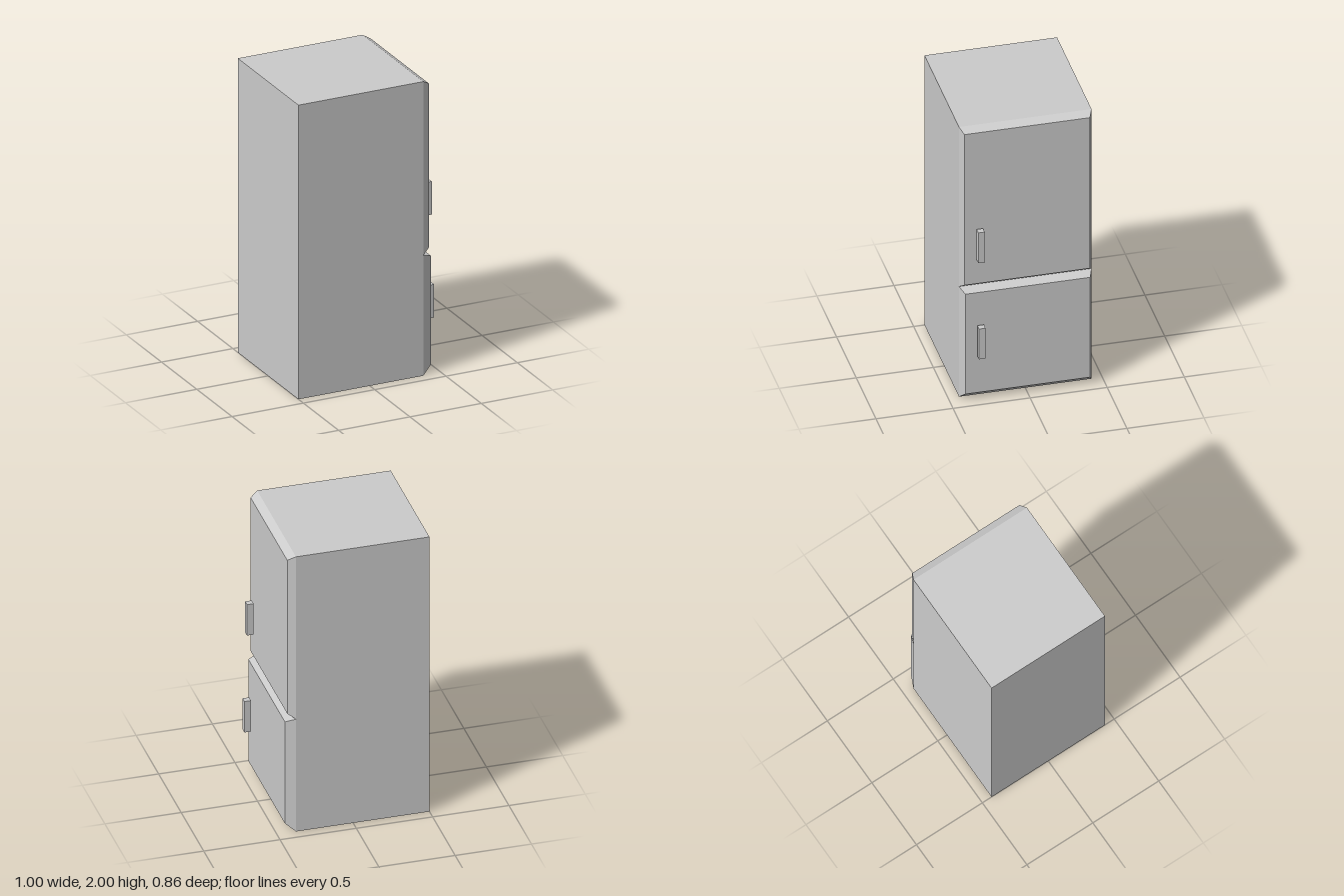
import * as THREE from 'three';

const material = new THREE.MeshStandardMaterial({ color: 0xcccccc, flatShading: true });
const HALF_DEPTH = 0.43;
const BACK = -0.5;
const SEAM = 0.375;

// Box given by its lower and upper limits on each axis
function box(name, [x0, x1], [y0, y1], [z0, z1]) {
  const geometry = new THREE.BoxGeometry(x1 - x0, y1 - y0, z1 - z0);
  geometry.translate((x0 + x1) / 2, (y0 + y1) / 2, (z0 + z1) / 2);
  const mesh = new THREE.Mesh(geometry, material);
  mesh.name = name;
  return mesh;
}

// Door panel whose outer face is smaller than its base, giving bevelled edges
function door(name, faceX, [y0, y1], [faceY0, faceY1], faceHalfDepth) {
  const mesh = box(name, [SEAM, faceX], [y0, y1], [-HALF_DEPTH, HALF_DEPTH]);
  const position = mesh.geometry.attributes.position;
  const middle = (y0 + y1) / 2;
  for (let i = 0; i < position.count; i++) {
    if (position.getX(i) < (SEAM + faceX) / 2) continue;
    position.setY(i, position.getY(i) > middle ? faceY1 : faceY0);
    position.setZ(i, Math.sign(position.getZ(i)) * faceHalfDepth);
  }
  mesh.geometry.computeVertexNormals();
  return mesh;
}

export function createModel() {
  const group = new THREE.Group();
  group.name = 'refrigerator';

  // Cabinet
  group.add(box('cabinet', [BACK, SEAM], [0, 2], [-HALF_DEPTH, HALF_DEPTH]));

  // Doors on the +x side, meeting in a V-shaped groove
  group.add(door('upperDoor', 0.425, [0.817, 2], [0.853, 1.97], 0.407));
  group.add(door('lowerDoor', 0.44, [0, 0.817], [0.055, 0.795], 0.405));

  // Handles, standing just clear of the doors
  group.add(box('upperHandle', [0.44, 0.483], [1.04, 1.265], [0.29, 0.332]));
  group.add(box('lowerHandle', [0.457, 0.5], [0.337, 0.562], [0.29, 0.332]));

  return group;
}
